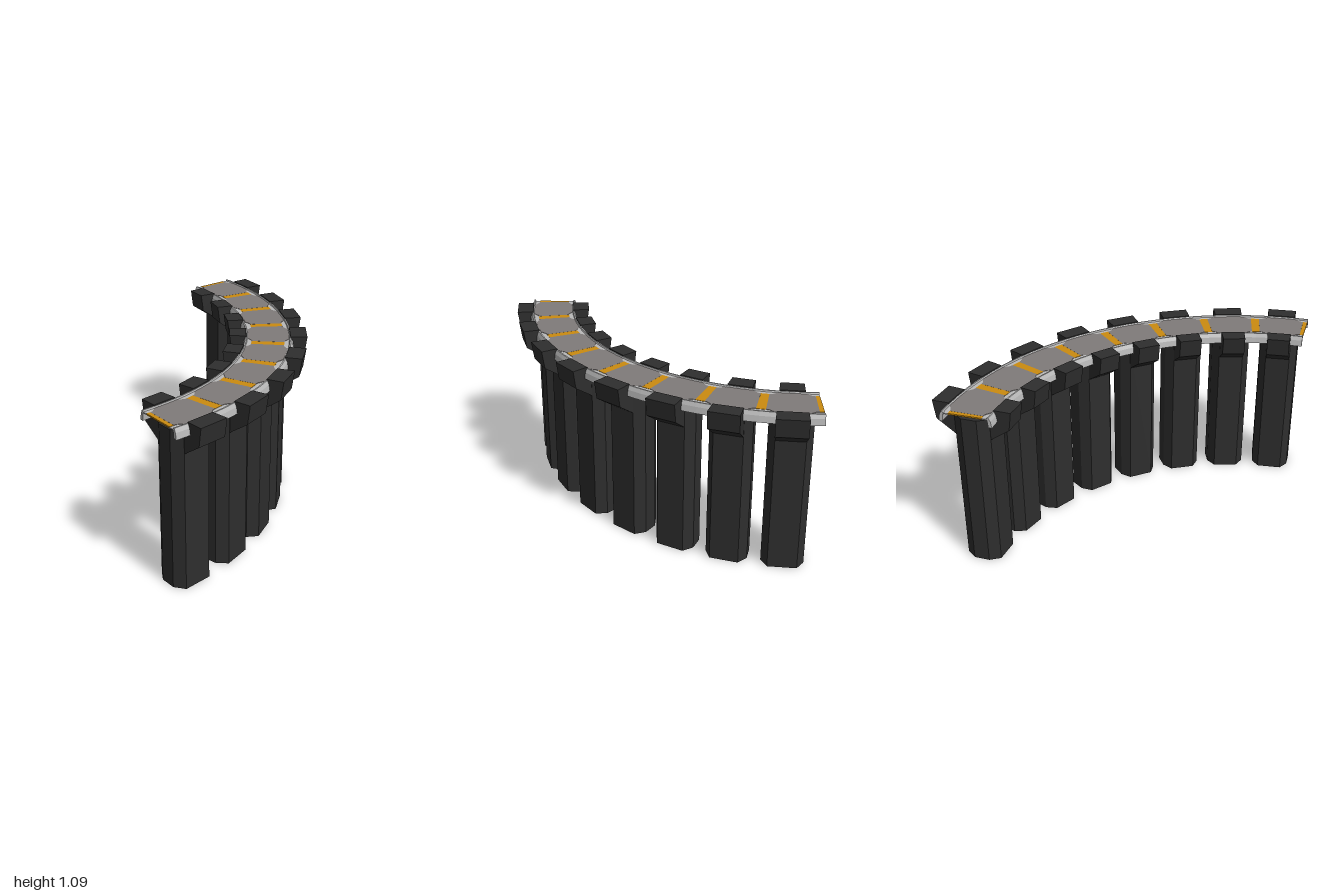
import * as THREE from 'three';

const R = 1.745;                       // centre line radius, arc centre at (-1, -1)
const SEGMENTS = 8;
const L = (R * Math.PI / 2) / SEGMENTS; // length of one segment along the arc
const DECK = 1.062;                     // underside of the deck plates

const mat = (name, color) => {
  const m = new THREE.MeshStandardMaterial({ color, flatShading: true });
  m.name = name;
  return m;
};

const polygon = pts => new THREE.Shape(pts.map(p => new THREE.Vector2(p[0], p[1])));

// Bends straight geometry (x along, z outward) around the quarter circle
function bend(geo, shift = 0) {
  const g = geo.index ? geo.toNonIndexed() : geo;
  const p = g.attributes.position;
  for (let i = 0; i < p.count; i++) {
    const a = (p.getX(i) + shift) / R, r = R + p.getZ(i);
    p.setX(i, -1 + r * Math.sin(a));
    p.setZ(i, -1 + r * Math.cos(a));
  }
  g.computeVertexNormals();
  return g;
}

// Sweeps a cross-section of [outward, y] points along x
function sweep(pts, length, steps) {
  const g = new THREE.ExtrudeGeometry(polygon(pts.map(([o, y]) => [-o, y])),
    { depth: length, steps, bevelEnabled: false });
  return g.rotateY(Math.PI / 2);
}

// Raises a plan of [along, outward] points from y0 to y1
function raise(pts, y0, y1) {
  const g = new THREE.ExtrudeGeometry(polygon(pts.map(([s, o]) => [s, -o])),
    { depth: y1 - y0, bevelEnabled: false });
  return g.rotateX(-Math.PI / 2).translate(0, y0, 0);
}

// Four-way mirrored outline from the points of one quadrant
function mirrored(q) {
  const rev = [...q].reverse();
  return [
    ...q, ...rev.map(([a, b]) => [-a, b]),
    ...q.map(([a, b]) => [-a, -b]), ...rev.map(([a, b]) => [a, -b]),
  ];
}

export function createModel() {
  const model = new THREE.Group();
  model.name = 'curvedTrack';
  const dark = mat('dark support', 0x2e2e2e);
  const light = mat('light rail', 0xbababa);
  const grey = mat('grey deck', 0x807b7a);
  const orange = mat('orange band', 0xcb8b10);

  const add = (name, geo, material, shift) => {
    const m = new THREE.Mesh(bend(geo, shift), material);
    m.name = name;
    model.add(m);
  };

  // Edge rails: raised lip, skirt hanging outside, thin ledge inward
  const rail = [
    [0.103, DECK], [0.14, DECK], [0.145, 1.013], [0.167, 1.013],
    [0.161, 1.053], [0.15, 1.078], [0.141, 1.078], [0.137, 1.069], [0.103, 1.069],
  ];
  for (const side of [1, -1]) {
    add(side > 0 ? 'outerRail' : 'innerRail',
      sweep(rail.map(([o, y]) => [o * side, y]), L * SEGMENTS, SEGMENTS * 4), light);
  }

  // Orange bands across the deck, half width at both ends
  const half = 0.027;
  for (let i = 0; i <= SEGMENTS; i++) {
    const s0 = i === 0 ? 0 : -half, s1 = i === SEGMENTS ? 0 : half;
    add('crossBand', raise([[s0, -0.107], [s1, -0.107], [s1, 0.107], [s0, 0.107]],
      DECK, 1.071), orange, i * L);
  }

  const panel = mirrored([[L / 2 - half, 0.105], [0.125, 0.109], [0.088, 0.135], [0.03, 0.135]]);
  const column = mirrored([[0.13, 0.05], [0.086, 0.115]]);
  const bracket = [
    [0.1, 0.87], [0.115, 0.88], [0.238, 0.965], [0.255, 1.085],
    [0.145, 1.085], [0.138, 1.02], [0.1, 1.02],
  ];
  for (let i = 0; i < SEGMENTS; i++) {
    const mid = (i + 0.5) * L;
    // Deck panel with cut corners
    add('deckPanel', raise(panel, DECK, 1.0715), grey, mid);
    // Eight-sided column
    add('column', raise(column, 0, 1.02), dark, mid);
    // Flared brackets gripping both edges
    for (const side of [1, -1]) {
      add(side > 0 ? 'outerBracket' : 'innerBracket',
        sweep(bracket.map(([o, y]) => [o * side, y]), 0.17, 1).translate(-0.085, 0, 0), dark, mid);
    }
  }
  return model;
}
